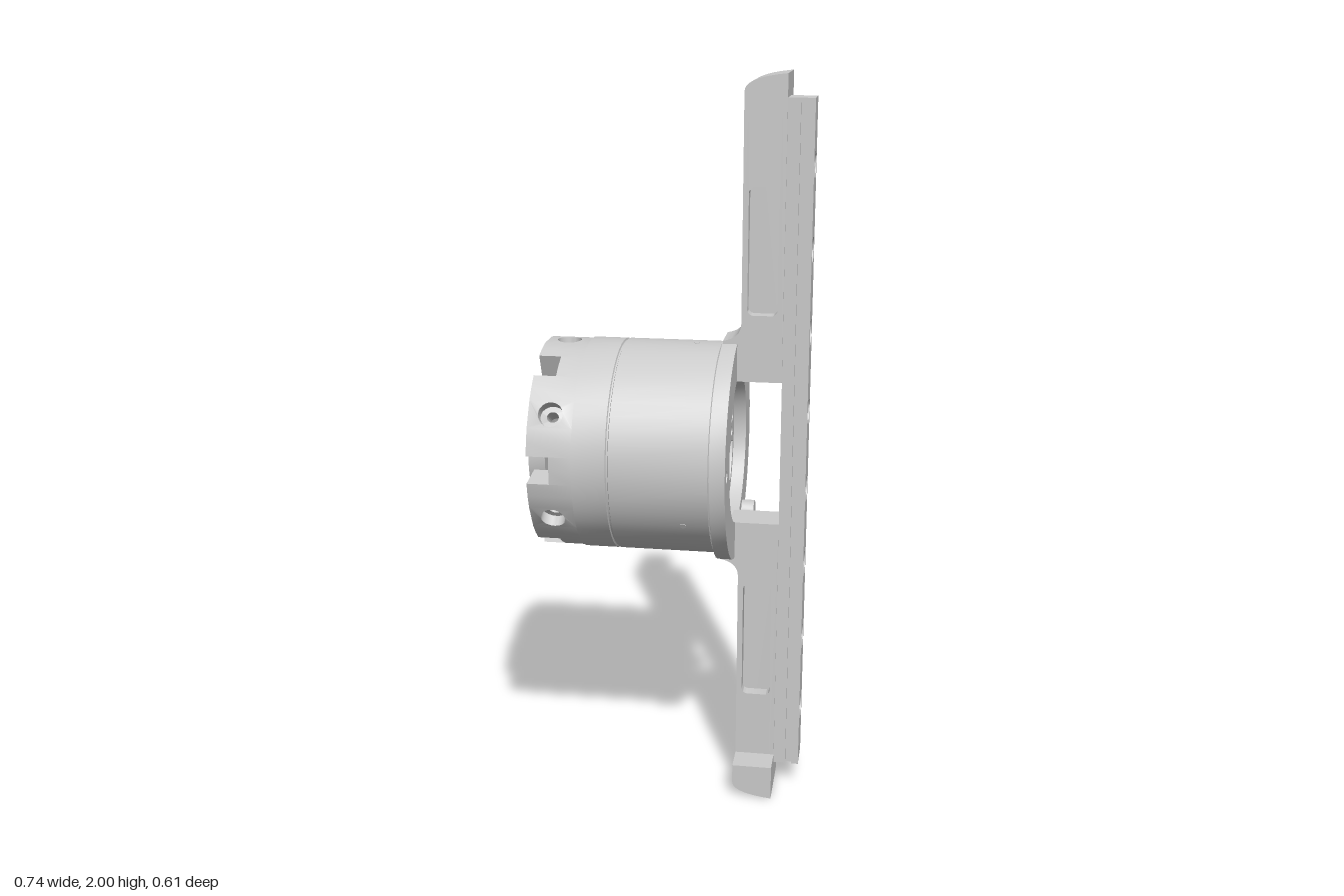
import * as THREE from 'three';
import { mergeGeometries, toCreasedNormals } from 'three/addons/utils/BufferGeometryUtils.js';

const material = new THREE.MeshStandardMaterial({ color: 0xcccccc });
const rad = THREE.MathUtils.degToRad;

function mesh(name, geometry, parent) {
  const m = new THREE.Mesh(toCreasedNormals(geometry, 0.5), material);
  m.name = name;
  parent.add(m);
  return m;
}

function circle(s, t, r, Type = THREE.Path) {
  return new Type().absarc(s, t, r, 0, Math.PI * 2, false);
}

function rect(x0, y0, x1, y1) {
  return new THREE.Shape([[x0, y0], [x1, y0], [x1, y1], [x0, y1]].map(p => new THREE.Vector2(...p)));
}

function extrude(shape, depth, curveSegments = 12) {
  return new THREE.ExtrudeGeometry(shape, { depth, bevelEnabled: false, curveSegments });
}

// Plate facing +x: shape axes are (-z, y)
function plate(shape, x0, x1, segments) {
  return extrude(shape, x1 - x0, segments).rotateY(Math.PI / 2).translate(x0, 0, 0);
}

// Wraps a flat patch (angle a0..a1 in degrees, x0..x1) round the x axis
const R = 0.287;
function wrapped(a0, a1, x0, x1, r0, r1, hole = 0) {
  const shape = rect(rad(a0) * R, x0, rad(a1) * R, x1);
  if (hole) shape.holes.push(circle(rad((a0 + a1) / 2) * R, -0.29, hole));
  const g = extrude(shape, r1 - r0);
  const p = g.attributes.position;
  for (let i = 0; i < p.count; i++) {
    const a = p.getX(i) / R, r = r0 + p.getZ(i);
    p.setXYZ(i, p.getY(i), r * Math.cos(a), r * Math.sin(a));
  }
  return g;
}

// Notched end of the housing, with counterbored radial holes and a bottom recess
function crownGeometry() {
  const parts = [];
  for (const [r0, r1, hole] of [[0.2, 0.255, 0.016], [0.255, R, 0.033]]) {
    for (let k = 0; k < 6; k++) {
      const b = k * 60;
      const recessed = k === 3 && r0 > 0.25;
      if (!recessed) parts.push(wrapped(b - 7.5, b + 7.5, -0.35, -0.23, r0, r1, hole));
      for (const a of [7.5, 15, 22.5, 30, 37.5, 45]) {
        if (r0 > 0.25 && ((k === 3 && a === 7.5) || (k === 2 && a === 45))) continue;
        const notch = a === 22.5 || a === 30;
        parts.push(wrapped(b + a, b + a + 7.5, notch ? -0.29 : -0.35, -0.23, r0, r1));
      }
    }
  }
  return mergeGeometries(parts);
}

function spiderShape() {
  const shape = circle(0, 0, 0.206, THREE.Shape);
  shape.holes.push(circle(0, 0, 0.032));
  const at = (r, deg) => [r * Math.cos(rad(deg)), r * Math.sin(rad(deg))];
  for (let k = 0; k < 6; k++) {
    const c = 30 + k * 60;
    // Petal opening: narrow neck flaring towards the rim
    const petal = new THREE.Path();
    petal.moveTo(...at(0.07, c - 10));
    petal.quadraticCurveTo(...at(0.115, c - 8), ...at(0.13, c - 16));
    petal.quadraticCurveTo(...at(0.16, c - 23), ...at(0.185, c - 18));
    petal.absarc(0, 0, 0.185, rad(c - 18), rad(c + 18), false);
    petal.quadraticCurveTo(...at(0.16, c + 23), ...at(0.13, c + 16));
    petal.quadraticCurveTo(...at(0.115, c + 8), ...at(0.07, c + 10));
    petal.quadraticCurveTo(...at(0.058, c), ...at(0.07, c - 10));
    shape.holes.push(petal);
    if (k % 2 === 0) shape.holes.push(circle(...at(0.152, k * 60), 0.014));
  }
  return shape;
}

function createMotor() {
  const motor = new THREE.Group();
  motor.name = 'motor';

  // Main housing with a seam groove and an open rear cavity
  const profile = [
    [0, -0.23], [0.29, -0.23], [0.29, -0.14], [0.285, -0.138], [0.285, -0.134], [0.29, -0.132],
    [0.29, 0.128], [0.285, 0.13], [0.285, 0.137], [0.206, 0.137], [0.206, 0.03], [0, 0.03],
  ].map(p => new THREE.Vector2(...p));
  mesh('housing', new THREE.LatheGeometry(profile, 48).rotateZ(-Math.PI / 2), motor);
  mesh('crown', crownGeometry(), motor);

  // Output hub with bore and bolt circle
  const hub = circle(0, 0, 0.18, THREE.Shape);
  hub.holes.push(circle(0, 0, 0.09));
  for (let k = 0; k < 6; k++) {
    const a = rad(30 + k * 60);
    hub.holes.push(circle(0.135 * Math.cos(a), 0.135 * Math.sin(a), 0.016));
  }
  mesh('hub', plate(hub, -0.37, -0.325, 24), motor);

  // Mounting flange and spoked plate inside it
  const flange = circle(0, 0, 0.307, THREE.Shape);
  flange.holes.push(circle(0, 0, 0.206), circle(-0.265, 0, 0.016));
  mesh('flange', plate(flange, 0.135, 0.175, 24), motor);
  mesh('spokedPlate', plate(spiderShape(), 0.1, 0.14, 24), motor);

  // Stop posts on the flange
  for (const side of [1, -1]) {
    const post = new THREE.CylinderGeometry(0.032, 0.032, 0.05, 24).rotateZ(Math.PI / 2);
    mesh('stopPost', post, motor).position.set(0.185, side * 0.23, -0.132);
  }

  // Set screws round the housing
  for (const deg of [0, 120, 240]) {
    const screw = new THREE.CylinderGeometry(0.009, 0.009, 0.01, 6).translate(0.06, 0.286, 0);
    mesh('setScrew', screw.rotateX(rad(deg)), motor);
  }
  return motor;
}

// Rounded outer end shared by the arm and its hook
function capTo(shape) {
  shape.lineTo(0.295, 1.0);
  shape.bezierCurveTo(0.245, 0.995, 0.185, 0.985, 0.185, 0.955);
}

// One arm, measured outwards from the motor axis
function createArm() {
  const arm = new THREE.Group();
  const profile = pocketed => {
    const s = new THREE.Shape();
    s.moveTo(0.16, 0.2);
    s.lineTo(0.295, 0.2);
    capTo(s);
    s.lineTo(0.185, 0.36);
    s.quadraticCurveTo(0.185, 0.318, 0.137, 0.31);
    s.lineTo(0.137, 0.285);
    s.lineTo(0.16, 0.285);
    if (pocketed) {
      const p = new THREE.Path(), r = 0.016, q = Math.PI / 2;
      p.absarc(0.2 + r, 0.38 + r, r, 2 * q, 3 * q, false);
      p.absarc(0.28 - r, 0.38 + r, r, 3 * q, 4 * q, false);
      p.absarc(0.28 - r, 0.715 - r, r, 0, q, false);
      p.absarc(0.2 + r, 0.715 - r, r, q, 2 * q, false);
      s.holes.push(p);
    }
    return s;
  };
  mesh('armWeb', extrude(profile(false), 0.036).translate(0, 0, -0.018), arm);
  for (const z of [-0.053, 0.018]) {
    mesh('armSide', extrude(profile(true), 0.035).translate(0, 0, z), arm);
  }

  const hook = new THREE.Shape();
  hook.moveTo(0.185, 0.903);
  hook.lineTo(0.295, 0.903);
  capTo(hook);
  mesh('hook', extrude(hook, 0.08).translate(0, 0, -0.132), arm);
  return arm;
}

// Grooved rail with counterbored holes, stacked in three layers
function createRail() {
  const rail = new THREE.Group();
  rail.name = 'rail';
  const layers = [
    ['railBase', 0.295, 0.328, 0.048, 0.02],
    ['railNeck', 0.328, 0.345, 0.037, 0.035],
    ['railHead', 0.345, 0.365, 0.048, 0.035],
  ];
  for (const [name, x0, x1, w, r] of layers) {
    const s = rect(-w, -0.93, w, 0.94);
    for (let i = 0; i < 8; i++) {
      const blind = i === 0 || i === 7;
      if (blind && name === 'railBase') continue;
      s.holes.push(circle(0, -0.77 + i * 0.22, r));
    }
    mesh(name, plate(s, x0, x1), rail);
  }
  return rail;
}

export function createModel() {
  const model = new THREE.Group();
  model.name = 'motorWithRail';
  const upperArm = createArm();
  upperArm.name = 'upperArm';
  const lowerArm = createArm();
  lowerArm.name = 'lowerArm';
  lowerArm.rotation.x = Math.PI;
  for (const part of [createMotor(), upperArm, lowerArm, createRail()]) {
    part.position.y = 1;
    model.add(part);
  }
  return model;
}
